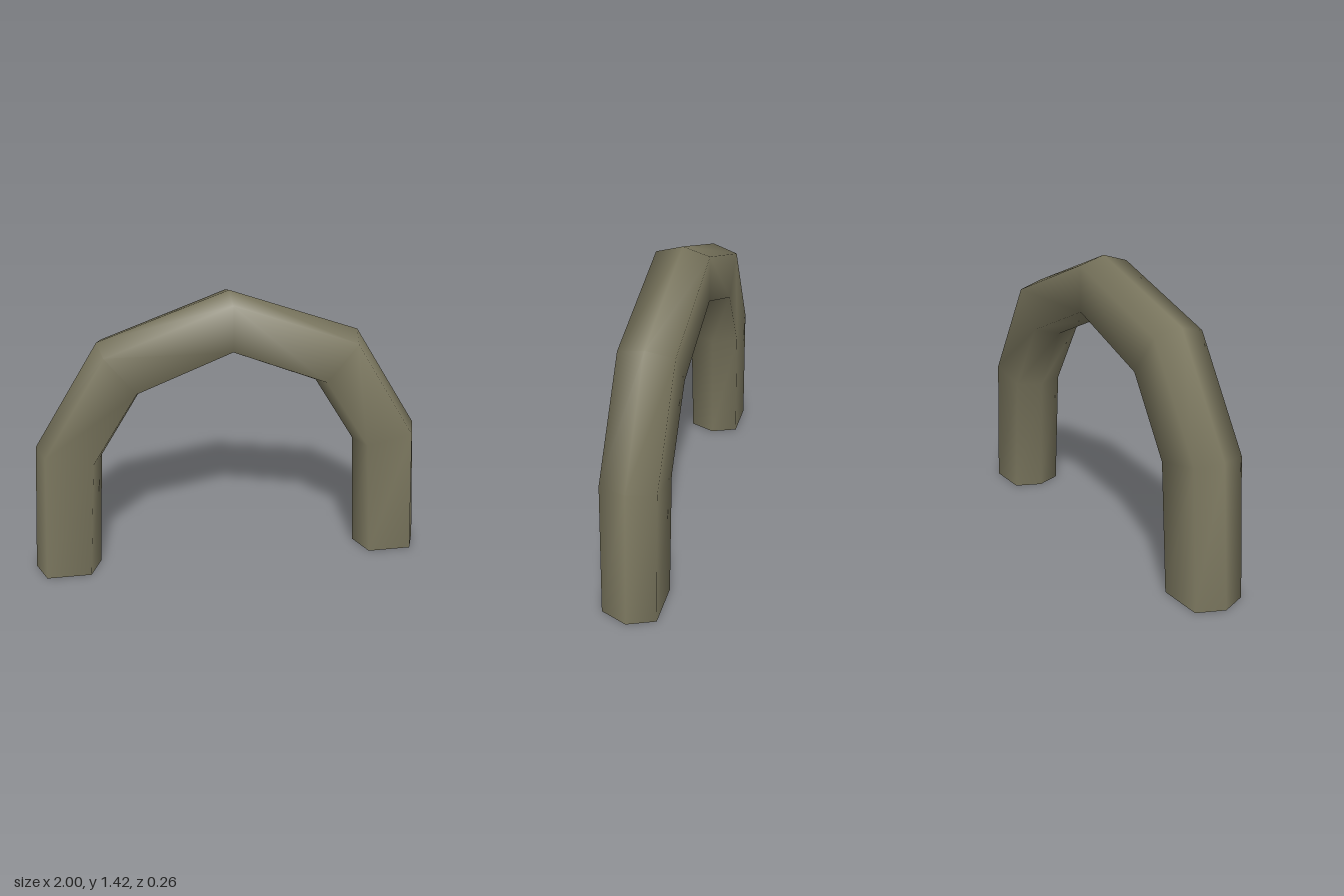
import * as THREE from 'three';

// Half of the arch, foot to crown: outer x, y, inner x, y, and flat-side share of the radius
const HALF = [
  [1.0, 0, 0.67, 0, 0.67],
  [0.95, 0.675, 0.635, 0.61, 0.72],
  [0.63, 1.195, 0.432, 0.942, 0.74],
  [0, 1.42, 0, 1.12, 0.75],
];
const HALF_DEPTH = 0.13;

// Six-sided section with its tips on the outer and inner edge of the arch
function section([ox, oy, ix, iy, flat], side) {
  const cx = (ox + ix) / 2, cy = (oy + iy) / 2;
  const rx = (ox - ix) / 2, ry = (oy - iy) / 2;
  const corners = [[1, 0], [flat, 1], [-flat, 1], [-1, 0], [-flat, -1], [flat, -1]];
  return corners.map(([r, d]) => [side * (cx + r * rx), cy + r * ry, d * HALF_DEPTH]);
}

// Open tube through the sections, with shared vertices for smooth shading
function tubeGeometry(rings) {
  const n = rings[0].length;
  const index = [];
  for (let i = 0; i < rings.length - 1; i++) {
    for (let j = 0; j < n; j++) {
      const k = (j + 1) % n;
      const a = i * n + j, b = i * n + k, c = a + n, d = b + n;
      index.push(a, b, c, b, d, c);
    }
  }
  const geometry = new THREE.BufferGeometry();
  geometry.setAttribute('position', new THREE.Float32BufferAttribute(rings.flat(2), 3));
  geometry.setIndex(index);
  geometry.computeVertexNormals();
  return geometry;
}

export function createModel() {
  const group = new THREE.Group();
  group.name = 'arch';

  const olive = new THREE.MeshStandardMaterial({ color: 0x7a765e, side: THREE.DoubleSide });
  olive.name = 'dull olive';

  // Right foot up to the crown and down to the left foot
  const right = HALF.map((p) => section(p, -1));
  const left = HALF.slice(0, -1).reverse().map((p) => section(p, 1));
  // Ring order is reversed so that the faces look outward
  const pipe = new THREE.Mesh(tubeGeometry([...right, ...left].reverse()), olive);
  pipe.name = 'archPipe';
  group.add(pipe);
  return group;
}
